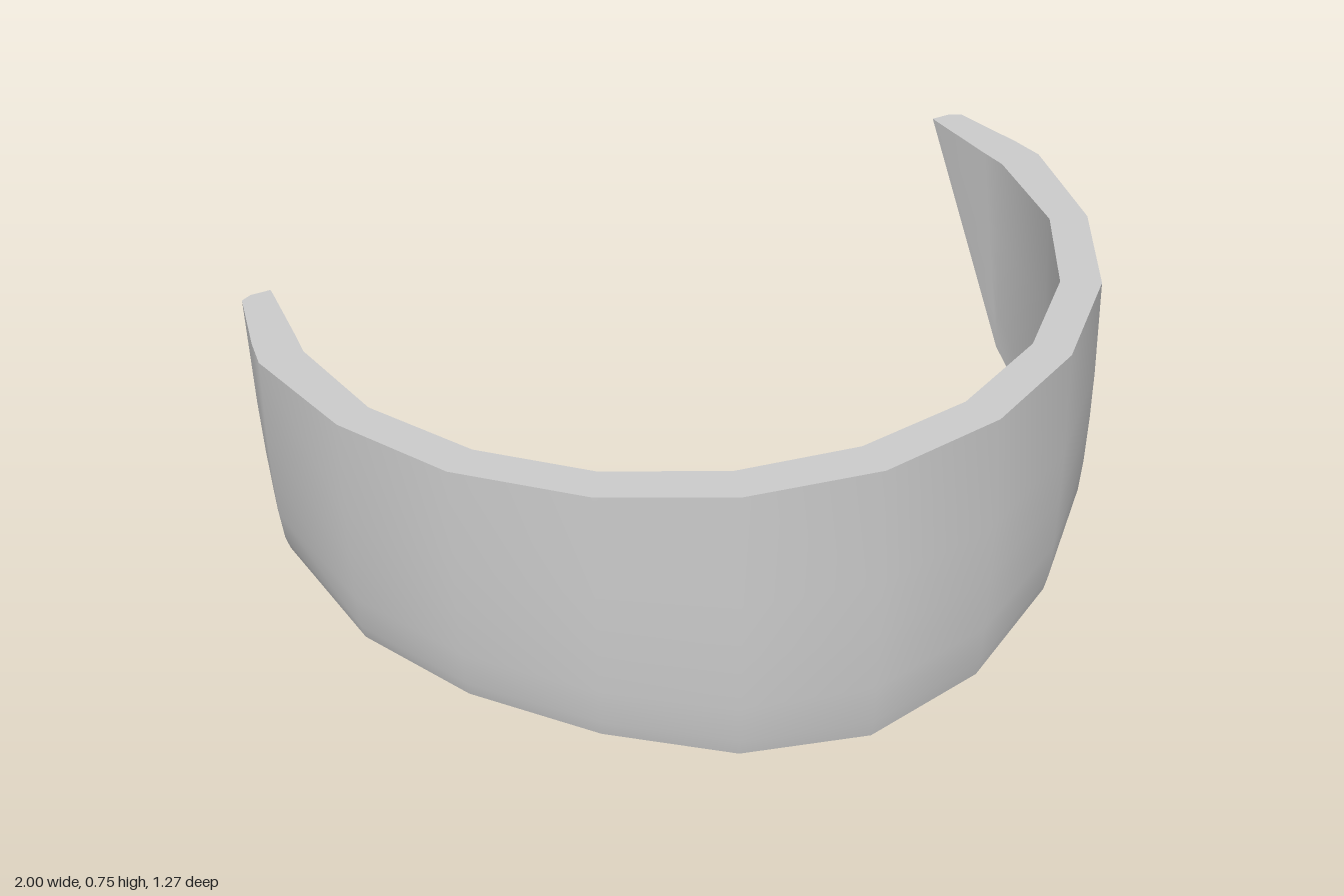
import * as THREE from 'three';
import { toCreasedNormals } from 'three/addons/utils/BufferGeometryUtils.js';

const TOP = 0.75;
// Rows from the top rim to the lower edge: [height fraction, inward tuck of the outer wall]
const ROWS = [[1, 0], [0.6, 0.002], [0.4, 0.006], [0.2, 0.013], [0.06, 0.022], [0, 0.032]];

// Stations from the front centre to the left end: outer x, z, inner x, z, outer and inner lower edge y
const STATIONS = [
  [0, 0.637, 0, 0.535, 0.025, 0.005],
  [0.31, 0.583, 0.28, 0.49, 0.05, 0.03],
  [0.58, 0.44, 0.53, 0.36, 0.105, 0.085],
  [0.805, 0.215, 0.725, 0.165, 0.145, 0.125],
  [0.94, -0.055, 0.855, -0.085, 0.17, 0.15],
  [0.998, -0.36, 0.895, -0.36, 0.245, 0.23],
];

// Raked end: rim offsets from the last station (outer x, z, inner x, z) and the edge chamfer
const ENDS = [
  [-0.014, -0.08, -0.009, -0.07, 0],
  [-0.06, -0.262, -0.028, -0.25, 0],
  [-0.06, -0.275, -0.03, -0.275, 0.025],
];

// Closed ring of points: down the outer wall, then up the inner wall
function ring([ox, oz, ix, iz, yo, yi], end = [0, 0, 0, 0, 0]) {
  const dir = new THREE.Vector2(ox - ix, oz - iz).normalize();
  const outer = [], inner = [];
  for (const [f, tuck] of ROWS) {
    outer.push([
      ox - dir.x * tuck + end[0] * f - end[4],
      yo + (TOP - yo) * f,
      oz - dir.y * tuck + end[1] * f,
    ]);
    const lean = 0.01 * (1 - f);
    inner.unshift([
      ix + dir.x * lean + end[2] * f,
      yi + (TOP - yi) * f,
      iz + dir.y * lean + end[3] * f,
    ]);
  }
  return [...outer, ...inner];
}

function bandGeometry() {
  const half = STATIONS.map((s) => ring(s));
  for (const e of ENDS) half.push(ring(STATIONS[5], e));
  const mirrored = half.slice(1).reverse().map((r) => r.map(([x, y, z]) => [-x, y, z]));
  const rings = [...mirrored, ...half];

  const pos = [];
  const quad = (a, b, c, d) => pos.push(...a, ...b, ...c, ...a, ...c, ...d);
  const n = ROWS.length * 2;
  // Walls, rim and lower edge
  for (let j = 0; j < rings.length - 1; j++) {
    const p = rings[j], q = rings[j + 1];
    for (let k = 0; k < n; k++) {
      const m = (k + 1) % n;
      quad(p[k], p[m], q[m], q[k]);
    }
  }
  // End faces
  const first = rings[0], last = rings[rings.length - 1];
  for (let k = 0; k < ROWS.length - 1; k++) {
    quad(last[k], last[k + 1], last[n - 2 - k], last[n - 1 - k]);
    quad(first[n - 1 - k], first[n - 2 - k], first[k + 1], first[k]);
  }
  const g = new THREE.BufferGeometry();
  g.setAttribute('position', new THREE.Float32BufferAttribute(pos, 3));
  return toCreasedNormals(g, THREE.MathUtils.degToRad(30));
}

export function createModel() {
  const group = new THREE.Group();
  group.name = 'curvedGuard';
  const band = new THREE.Mesh(
    bandGeometry(),
    new THREE.MeshStandardMaterial({ color: 0xcccccc })
  );
  band.name = 'curvedBand';
  group.add(band);
  return group;
}
